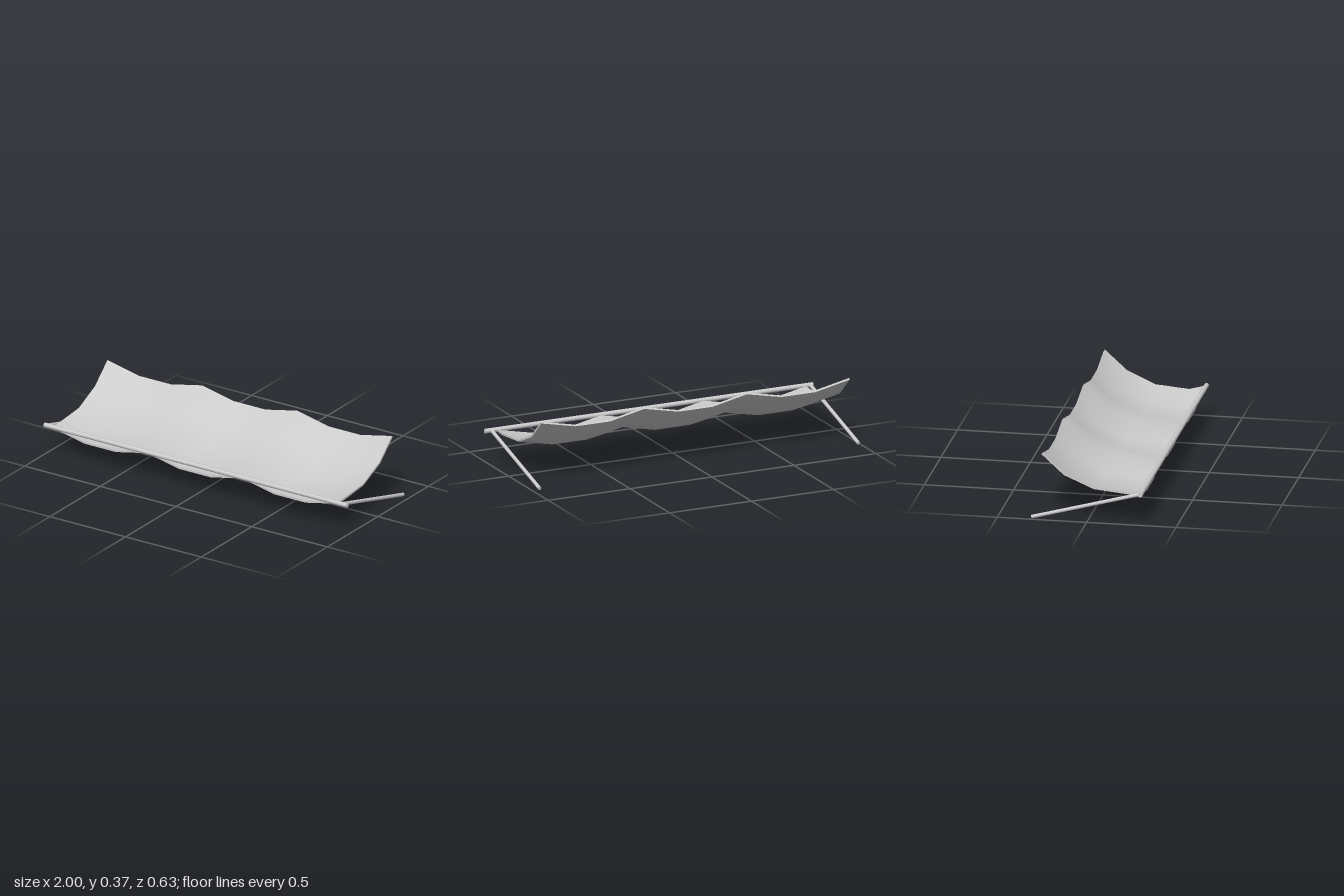
import * as THREE from 'three';

const material = new THREE.MeshStandardMaterial({ color: 0xcccccc });

// Round pole between two points
function pole(name, from, to, radius) {
  const a = new THREE.Vector3(...from), b = new THREE.Vector3(...to);
  const dir = b.clone().sub(a);
  const mesh = new THREE.Mesh(new THREE.CylinderGeometry(radius, radius, dir.length(), 12), material);
  mesh.position.copy(a).add(b).multiplyScalar(0.5);
  mesh.quaternion.setFromUnitVectors(new THREE.Vector3(0, 1, 0), dir.normalize());
  mesh.name = name;
  return mesh;
}

// Thin cloth: a box grid bent along a front-to-back curve, hanging in three bays
function canopy() {
  const upper = [[0.29, 0.176], [0.24, 0.172], [0.03, 0.19], [-0.13, 0.262], [-0.254, 0.374]];
  const lower = [[0.29, 0.165], [0.24, 0.16], [0.032, 0.18], [-0.136, 0.252], [-0.261, 0.366]];
  const sag = 0.044, columns = 9;
  const geometry = new THREE.BoxGeometry(1, 1, 1, columns, 1, 4);
  const p = geometry.attributes.position;
  for (let i = 0; i < p.count; i++) {
    const column = Math.round((p.getX(i) + 0.5) * columns);
    const row = Math.round((0.5 - p.getZ(i)) * 4);
    const [z, y] = (p.getY(i) > 0 ? upper : lower)[row];
    // every third column is held up, the two between hang down
    p.setXYZ(i, -0.955 + 1.88 * column / columns, y - (column % 3 ? sag : 0), z);
  }
  geometry.computeVertexNormals();
  const mesh = new THREE.Mesh(geometry, material);
  mesh.name = 'canopyCloth';
  return mesh;
}

export function createModel() {
  const group = new THREE.Group();
  group.name = 'awning';
  group.add(canopy());
  // Front rail and the two struts sloping back to the base
  group.add(pole('frontRail', [-1, 0.176, 0.3], [1, 0.176, 0.3], 0.0135));
  for (const [name, x] of [['rightStrut', -0.985], ['leftStrut', 0.96]]) {
    group.add(pole(name, [x, 0.176, 0.3], [x, 0.011, -0.31], 0.0105));
  }
  return group;
}
